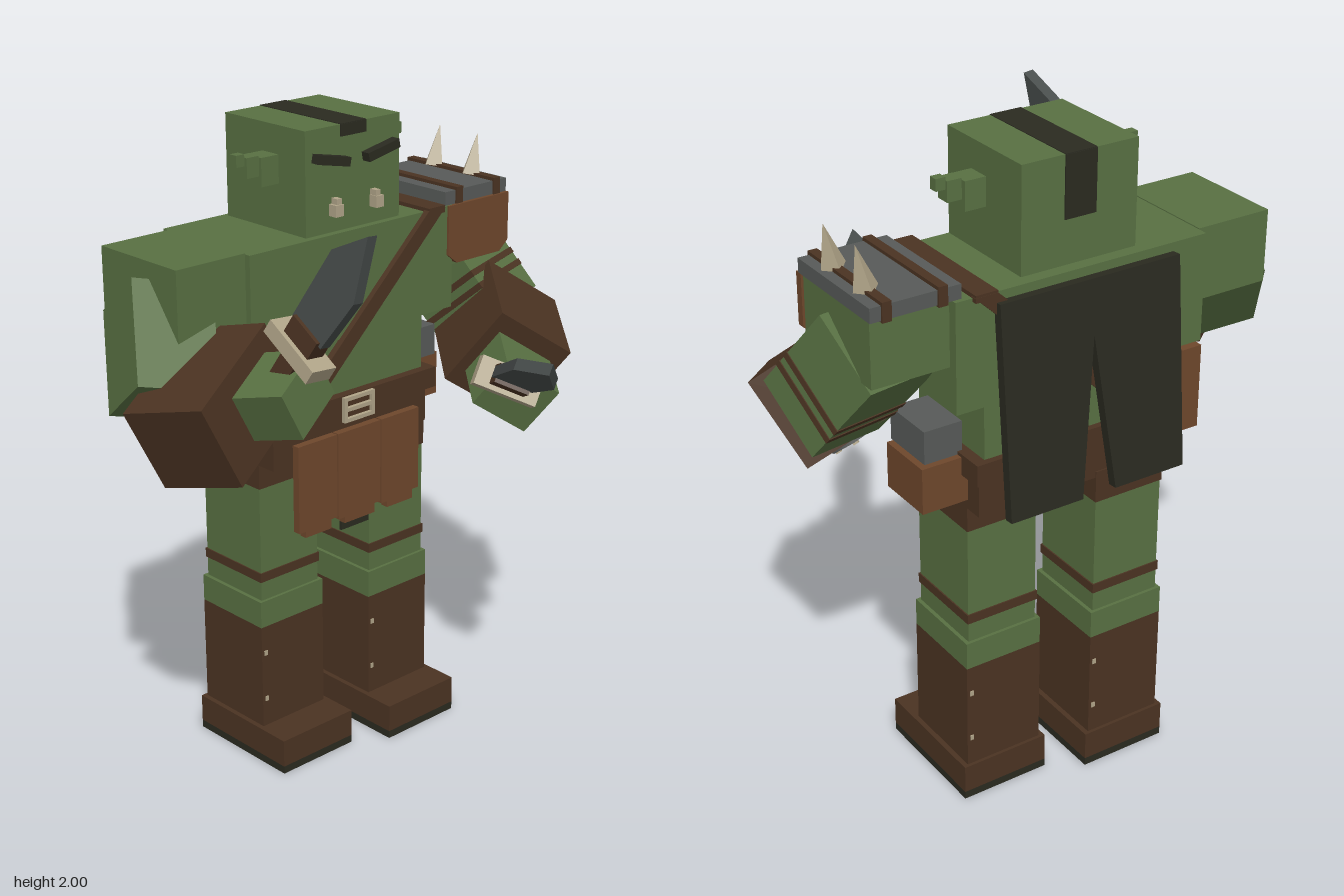
import * as THREE from 'three';

const mat = (name, color) => { const m = new THREE.MeshStandardMaterial({ color }); m.name = name; return m; };
const V = (x, y, z) => new THREE.Vector3(x, y, z);

export function createModel() {
  const root = new THREE.Group();
  root.name = 'warrior';
  const green = mat('green skin', 0x587042), dark = mat('dark leather', 0x4b3322);
  const tan = mat('tan leather', 0x6e472c), black = mat('black cloth', 0x2a2a20);
  const steel = mat('steel', 0x575a58), blade = mat('blade steel', 0x474c4b), bone = mat('bone', 0xb0a488);

  // box from its bounds on each axis
  const box = (name, m, [x0, x1], [y0, y1], [z0, z1], parent = root) => {
    const mesh = new THREE.Mesh(new THREE.BoxGeometry(x1 - x0, y1 - y0, z1 - z0), m);
    mesh.position.set((x0 + x1) / 2, (y0 + y1) / 2, (z0 + z1) / 2);
    mesh.name = name;
    parent.add(mesh);
    return mesh;
  };
  // box in local space from centre and size
  const block = (name, m, [sx, sy, sz], [x, y, z], parent) =>
    box(name, m, [x - sx / 2, x + sx / 2], [y - sy / 2, y + sy / 2], [z - sz / 2, z + sz / 2], parent);
  // group whose local x is near xDir and local y is exactly yDir
  const frame = (name, pos, yDir, xDir) => {
    const g = new THREE.Group(), y = yDir.clone().normalize();
    const z = xDir.clone().cross(y).normalize(), x = y.clone().cross(z);
    g.quaternion.setFromRotationMatrix(new THREE.Matrix4().makeBasis(x, y, z));
    g.position.copy(pos);
    g.name = name;
    root.add(g);
    return g;
  };
  const plate = (name, m, pts, depth, parent = root) => {
    const shape = new THREE.Shape(pts.map(p => new THREE.Vector2(...p)));
    const g = new THREE.ExtrudeGeometry(shape, { depth, bevelEnabled: false });
    g.translate(0, 0, -depth / 2);
    const mesh = new THREE.Mesh(g, m);
    mesh.name = name;
    parent.add(mesh);
    return mesh;
  };

  // head with hair stripe, brows, tusks and stepped ears
  box('head', green, [-0.135, 0.235], [1.69, 2.0], [-0.49, -0.14]);
  box('hairTop', black, [0, 0.1], [1.99, 2.002], [-0.492, -0.138]);
  box('hairFront', black, [0, 0.1], [1.965, 2.0], [-0.145, -0.136]);
  box('hairBack', black, [0, 0.1], [1.82, 2.0], [-0.494, -0.485]);
  for (const s of [-1, 1]) {
    const cx = 0.05;
    const span = (a, b) => (s > 0 ? [cx + a, cx + b] : [cx - b, cx - a]);
    const brow = box('brow', black, span(0.035, 0.16), [1.893, 1.92], [-0.145, -0.11]);
    brow.rotation.z = s * 0.2;
    box('tusk', bone, span(0.065, 0.095), [1.74, 1.775], [-0.145, -0.11]);
    box('tuskTip', bone, span(0.068, 0.086), [1.775, 1.792], [-0.14, -0.115]);
    box('earBase', green, span(0.18, 0.25), [1.83, 1.915], [-0.325, -0.255]);
    box('earMiddle', green, span(0.25, 0.295), [1.86, 1.92], [-0.31, -0.265]);
    box('earTip', green, span(0.295, 0.325), [1.895, 1.93], [-0.303, -0.275]);
  }

  // torso, belt and pelvis
  box('chest', green, [-0.355, 0.455], [1.36, 1.685], [-0.52, -0.13]);
  box('waist', green, [-0.25, 0.35], [1.17, 1.36], [-0.49, -0.155]);
  box('belt', dark, [-0.285, 0.385], [1.115, 1.18], [-0.51, -0.125]);
  box('pelvis', dark, [-0.265, 0.365], [1.0, 1.115], [-0.485, -0.15]);
  const buckle = [-0.006, 0.106];
  for (const y of [1.103, 1.137, 1.171]) box('buckleBar', bone, buckle, [y - 0.006, y + 0.006], [-0.125, -0.112]);
  for (const x of buckle) box('buckleSide', bone, [x - 0.006, x + 0.006], [1.097, 1.177], [-0.125, -0.112]);

  // shoulder strap
  const strapPts = [[0.335, 1.69], [0.405, 1.69], [-0.135, 1.18], [-0.21, 1.18]];
  for (const z of [-0.122, -0.525]) plate('strap', dark, strapPts, 0.022).position.z = z;
  box('strapTop', dark, [0.335, 0.403], [1.675, 1.697], [-0.535, -0.111]);

  // notched cape
  const cape = plate('cape', black,
    [[-0.29, 0], [0.29, 0], [0.29, -0.63], [0.055, -0.63], [0, -0.16], [-0.055, -0.63], [-0.29, -0.63]], 0.03);
  cape.position.set(0.05, 1.662, -0.538);
  cape.rotation.x = 0.09;

  // loincloth flaps with ragged hems
  const flap = (x0, x1, y) => plate('flap', tan, [[x0, 1.07], [x1, 1.07], [x1, y + 0.03], [x1 - 0.025, y + 0.03],
    [x1 - 0.025, y], [x0 + 0.025, y], [x0 + 0.025, y + 0.02], [x0, y + 0.02]], 0.025).position.z = -0.125;
  flap(-0.2, -0.045, 0.77);
  flap(-0.04, 0.135, 0.77);
  flap(0.14, 0.3, 0.77);
  box('underCloth', black, [-0.005, 0.11], [0.735, 1.0], [-0.148, -0.139]);

  // hip pouches
  box('rightPouch', tan, [-0.435, -0.265], [1.02, 1.285], [-0.43, -0.24]);
  box('pouchClasp', bone, [-0.385, -0.32], [1.11, 1.145], [-0.242, -0.232]);
  box('leftPouch', tan, [0.36, 0.51], [1.03, 1.17], [-0.43, -0.245]);
  box('pouchMetal', steel, [0.37, 0.49], [1.17, 1.27], [-0.41, -0.235]);

  // legs: left one stands a little forward
  for (const [name, cx, cz] of [['left', 0.245, -0.288], ['right', -0.145, -0.355]]) {
    const g = new THREE.Group();
    g.name = name + 'Leg';
    g.position.set(cx, 0, cz);
    root.add(g);
    const part = (n, m, w, d, y0, y1) => box(n, m, [-w, w], [y0, y1], [-d, d], g);
    part('shorts', dark, 0.118, 0.134, 0.92, 1.02);
    part('thigh', green, 0.115, 0.13, 0.54, 0.92);
    part('thighBand', dark, 0.119, 0.134, 0.61, 0.64);
    part('kneeCuff', green, 0.127, 0.14, 0.46, 0.547);
    part('boot', dark, 0.127, 0.14, 0.1, 0.46);
    box('foot', dark, [-0.143, 0.143], [0.025, 0.115], [-0.15, 0.255], g);
    box('sole', black, [-0.143, 0.143], [0, 0.025], [-0.15, 0.255], g);
    for (const y of [0.21, 0.37]) {
      block('bootStud', bone, [0.012, 0.016, 0.006], [-0.112, y, 0.14], g);
      block('bootStud', bone, [0.012, 0.016, 0.006], [0.112, y, -0.14], g);
    }
  }

  // shoulders and the armoured pad
  box('rightShoulder', green, [-0.6, -0.355], [1.47, 1.688], [-0.49, -0.15]);
  box('leftShoulder', green, [0.43, 0.69], [1.49, 1.685], [-0.49, -0.145]);
  box('padPlate', steel, [0.428, 0.697], [1.685, 1.727], [-0.506, -0.135]);
  plate('padFlap', tan, [[0.432, 1.685], [0.697, 1.685], [0.697, 1.53], [0.66, 1.5], [0.47, 1.5], [0.432, 1.53]], 0.025)
    .position.z = -0.135;
  for (const x of [0.485, 0.65]) box('padStrap', dark, [x - 0.014, x + 0.014], [1.68, 1.737], [-0.512, -0.129]);
  for (const z of [-0.24, -0.405]) {
    const spike = new THREE.Mesh(new THREE.ConeGeometry(0.038, 0.13, 4), bone);
    spike.name = 'padSpike';
    spike.material.flatShading = true;
    spike.position.set(0.662, 1.792, z);
    spike.rotation.z = -0.2;
    root.add(spike);
  }

  // upper arms
  const rUpper = frame('rightUpperArm', V(-0.575, 1.425, -0.265), V(-0.35, -0.75, 0.5), V(1, 0, 0.2));
  block('rightElbow', green, [0.24, 0.32, 0.25], [0, 0, 0], rUpper);
  const lUpper = frame('leftUpperArm', V(0.615, 1.41, -0.245), V(0.2, -0.75, 0.6), V(1, 0, -0.2));
  block('leftElbow', green, [0.25, 0.34, 0.25], [0, 0, 0], lUpper);
  for (const y of [0.03, 0.075]) block('armBand', dark, [0.256, 0.02, 0.256], [0, y, 0], lUpper);

  // forearm: local y runs to the hand, plate on the given side of local x
  const forearm = (name, pos, yDir, xDir, size, plateSide, fistSize, fistPos) => {
    const g = frame(name, pos, yDir, xDir);
    block('bracer', dark, size, [0, 0, 0], g);
    block('fist', green, fistSize, fistPos, g);
    const px = plateSide * size[0] / 2;
    const disc = new THREE.Mesh(new THREE.CylinderGeometry(0.1, 0.1, 0.03, 8), steel);
    disc.name = 'bracerPlate';
    disc.rotation.z = Math.PI / 2;
    disc.position.x = px;
    g.add(disc);
    for (let i = 0; i < 6; i++) {
      const a = i * Math.PI / 3;
      block('plateStud', bone, [0.03, 0.016, 0.016], [px + plateSide * 0.008, 0.075 * Math.cos(a), 0.075 * Math.sin(a)], g);
    }
  };
  forearm('rightForearm', V(-0.555, 1.31, -0.055), V(0.26, 0.22, 0.94), V(0.87, 0.37, -0.33),
    [0.38, 0.27, 0.27], 1, [0.2, 0.2, 0.15], [0.035, 0.2, 0]);
  forearm('leftForearm', V(0.568, 1.255, -0.02), V(-0.18, -0.08, 0.23), V(-0.09, -0.227, -0.15),
    [0.287, 0.3, 0.27], 1, [0.17, 0.22, 0.2], [0, 0.21, 0]);

  // daggers: local y to the tip, local x across the blade
  const dagger = (name, pos, yDir, xDir) => {
    const g = frame(name, pos, yDir, xDir);
    block('grip', dark, [0.06, 0.2, 0.05], [0, -0.1, 0], g);
    block('guard', bone, [0.2, 0.045, 0.09], [0, 0, 0], g);
    block('collar', dark, [0.11, 0.065, 0.06], [0, 0.05, 0], g);
    plate('blade', blade, [[-0.065, 0.07], [0.065, 0.07], [0.08, 0.25], [0.01, 0.425], [-0.065, 0.31]], 0.035, g);
  };
  dagger('rightDagger', V(-0.458, 1.515, 0.195), V(0.11, 0.84, 0.53), V(0, -0.5, 0.86));
  dagger('leftDagger', V(0.325, 1.24, 0.235), V(-0.47, 0.41, 0.78), V(0.75, -0.45, 0.49));
  return root;
}
